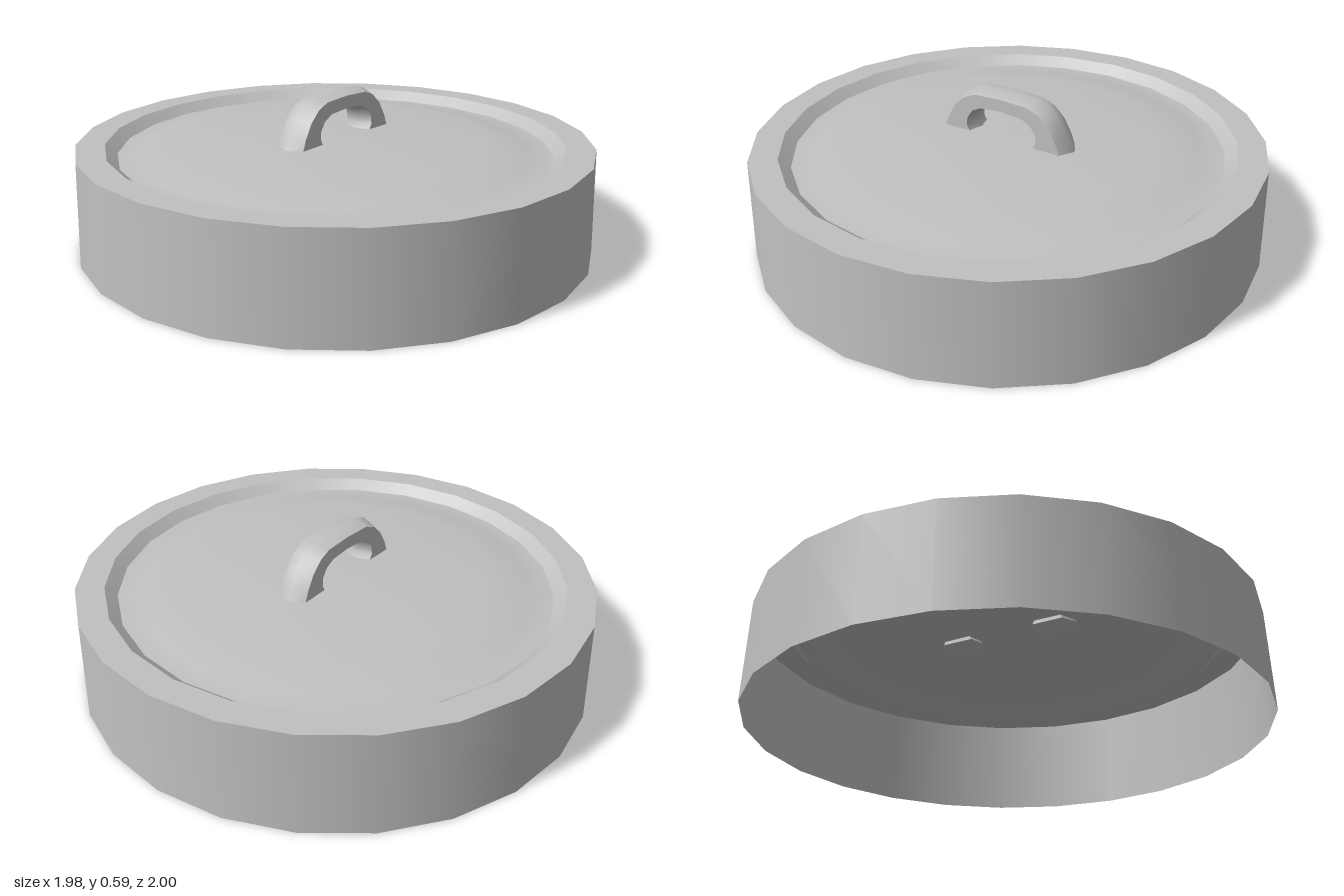
import * as THREE from 'three';

const metal = new THREE.MeshStandardMaterial({ color: 0xc0c0c0, side: THREE.DoubleSide });
metal.name = 'grey metal';

// One smooth ring of the lid; separate rings keep the edges between them sharp
function ring(name, profile) {
  const points = profile.map(([r, y]) => new THREE.Vector2(r, y));
  const mesh = new THREE.Mesh(new THREE.LatheGeometry(points, 24), metal);
  mesh.scale.x = 0.988;
  mesh.name = name;
  return mesh;
}

// A smooth strip between rows of points, rows running along the handle
function strip(name, rows) {
  const n = rows[0].length, index = [];
  for (let r = 0; r < rows.length - 1; r++) {
    for (let i = 0; i < n - 1; i++) {
      const a = r * n + i, b = a + n;
      index.push(a, b, a + 1, b, b + 1, a + 1);
    }
  }
  const geometry = new THREE.BufferGeometry();
  geometry.setAttribute('position', new THREE.Float32BufferAttribute(rows.flat(2), 3));
  geometry.setIndex(index);
  geometry.computeVertexNormals();
  const mesh = new THREE.Mesh(geometry, metal);
  mesh.name = name;
  return mesh;
}

// Mirror half a path (left foot to the middle) and place it at depth z
function path(half, z) {
  const right = half.slice(0, -1).reverse().map(([x, y]) => [-x, y]);
  return [...half, ...right].map(([x, y]) => [x, y, z]);
}

function createHandle() {
  const handle = new THREE.Group();
  handle.name = 'handle';
  const w = 0.06;
  // Lines of the six-sided section, from foot to top
  const outerRidge = [[0.295, 0.395], [0.262, 0.455], [0.225, 0.52], [0.18, 0.563], [0.12, 0.583], [0, 0.588]];
  const outerEdge = [[0.26, 0.395], [0.24, 0.45], [0.208, 0.505], [0.165, 0.546], [0.115, 0.567], [0, 0.572]];
  const innerEdge = [[0.135, 0.395], [0.155, 0.43], [0.153, 0.463], [0.13, 0.497], [0.09, 0.517], [0, 0.524]];
  const innerRidge = [[0.115, 0.395], [0.14, 0.43], [0.14, 0.462], [0.118, 0.49], [0.082, 0.508], [0, 0.514]];

  handle.add(
    strip('handleTop', [path(outerEdge, -w), path(outerRidge, 0), path(outerEdge, w)]),
    strip('handleFront', [path(outerEdge, w), path(innerEdge, w)]),
    strip('handleUnderside', [path(innerEdge, w), path(innerRidge, 0), path(innerEdge, -w)]),
    strip('handleBack', [path(innerEdge, -w), path(outerEdge, -w)])
  );

  // Pointed foot ends showing just below the panel
  for (const side of [1, -1]) {
    const loop = [[0.295, 0], [0.26, w], [0.135, w], [0.115, 0], [0.135, -w], [0.26, -w], [0.295, 0]];
    const rim = loop.map(([x, z]) => [side * x, 0.395, z]);
    const tip = loop.map(() => [side * 0.2, 0.38, 0]);
    handle.add(strip('handleFoot', side > 0 ? [tip, rim] : [rim, tip]));
  }
  return handle;
}

export function createModel() {
  const model = new THREE.Group();
  model.name = 'lid';
  model.add(
    ring('skirt', [[1, 0], [0.99, 0.395]]),
    ring('rim', [[0.99, 0.395], [0.88, 0.395]]),
    ring('grooveWall', [[0.88, 0.395], [0.835, 0.358]]),
    ring('panel', [[0.835, 0.358], [0.75, 0.361], [0.58, 0.405], [0, 0.412]]),
    createHandle()
  );
  return model;
}
